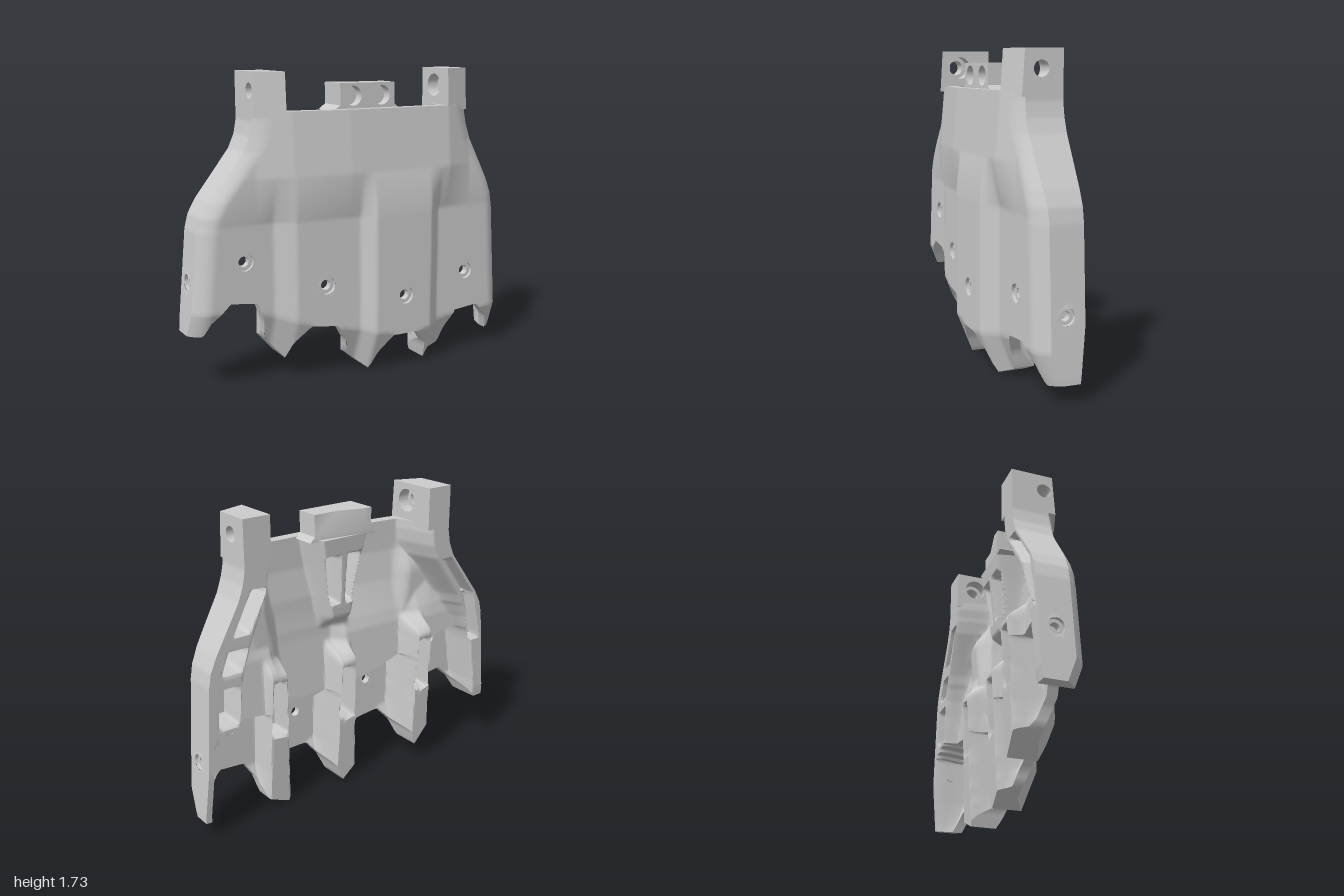
import * as THREE from 'three';
import { toCreasedNormals } from 'three/addons/utils/BufferGeometryUtils.js';

const material = new THREE.MeshStandardMaterial({ color: 0xcccccc });
const thin = new THREE.MeshStandardMaterial({ color: 0xcccccc, side: THREE.DoubleSide });
const { lerp, clamp, smoothstep } = THREE.MathUtils;

// Piecewise linear lookup through [t, value] rows
function lin(rows, t) {
  if (t <= rows[0][0]) return rows[0][1];
  for (let i = 1; i < rows.length; i++) {
    const a = rows[i - 1], b = rows[i];
    if (t <= b[0]) return lerp(a[1], b[1], (t - a[0]) / (b[0] - a[0]));
  }
  return rows[rows.length - 1][1];
}

// Outline: side edges by height, scalloped lower edge by x
const TOP = 1.53;
const leftEdge = [[0.33, -1], [0.9, -0.945], [0.98, -0.925], [1.06, -0.88], [1.32, -0.68], [1.4, -0.645], [1.48, -0.63]];
const rightEdge = [[0.14, 1], [0.9, 0.95], [0.98, 0.935], [1.06, 0.9], [1.32, 0.755], [1.4, 0.725], [1.48, 0.71]];
const lowerEdge = [[-1, 0.33], [-0.93, 0.33], [-0.9, 0.41], [-0.8, 0.51], [-0.64, 0.49], [-0.58, 0.36], [-0.57, 0.27],
  [-0.45, 0.13], [-0.42, 0.23], [-0.33, 0.33], [-0.17, 0.31], [-0.1, 0.2], [-0.09, 0.12], [0.04, 0.01], [0.08, 0.12],
  [0.16, 0.22], [0.32, 0.22], [0.4, 0.12], [0.425, 0.01], [0.56, 0.07], [0.58, 0.17], [0.65, 0.28], [0.81, 0.295],
  [0.9, 0.2], [0.93, 0.1], [1, 0.11]];
const bendLine = [[-0.72, 0.46], [-0.25, 0.31], [0.24, 0.21], [0.73, 0.27]];
const STEP = 0.35; // height of the rear step above the bend line

// Front face: stepped panels below, blending into one slab above
const lowerProfile = [[-0.53, 0.05], [-0.42, 0.115], [-0.03, 0.135], [0.04, 0.2], [0.41, 0.2], [0.5, 0.125]];
const upperProfile = [[-0.9, 0.02], [-0.63, 0.04], [-0.43, 0.1], [-0.1, 0.14], [0.55, 0.145], [0.72, 0.1], [0.95, 0.09]];
function frontZ(x, y) {
  const d = Math.min(x - lin(leftEdge, y), lin(rightEdge, y) - x);
  const round = lin([[1, 0.07], [1.4, 0.03]], y) * (1 - clamp(d / 0.1, 0, 1)) ** 2;
  const upper = lin(upperProfile, x) + 0.08 * (TOP - y);
  const bend = 0.4 * Math.max(0, lin(bendLine, x) - y);
  return lerp(lin(lowerProfile, x), upper, clamp((y - 0.93) / 0.25, 0, 1)) - round - bend;
}

// Straight tapered feature on the rear: centre, half width and depth run from y0 to y1
function taper(y0, y1, c, h, z, fade, endFade = fade) {
  const f = fade / 2, e = endFade / 2;
  const at = ([a, b], y) => lerp(a, b, clamp((y - y0) / (y1 - y0), 0, 1));
  return {
    z: (x, y) => at(z, y),
    mask: (x, y) => smoothstep(at(h, y) - Math.abs(x - at(c, y)), -f, f) *
      smoothstep(y - y0, -e, e) * smoothstep(y1 - y, -e, e),
  };
}
// Arm along a side edge, its width given by height
function arm(edge, side, widths, z, fades) {
  return {
    z: (x, y) => z + 0.1 * Math.max(0, 0.4 - y),
    mask: (x, y) => smoothstep(lin(widths, y) - side * (lin(edge, y) - x), -lin(fades, y), 0.015),
  };
}
// Pocket that follows a side edge at a fixed inset
function edgePocket(edge, inset, y0, y1, half, z) {
  return taper(y0, y1, [lin(edge, y0) + inset, lin(edge, y1) + inset], [half, half], [z, z], 0.025);
}

// Tooth ribs: [centre, depth, top]; each carries a slot
const teeth = [[-0.485, -0.195, 0.92], [0.015, -0.1, 0.84], [0.485, -0.09, 0.87]];
const raised = [
  arm(leftEdge, -1, [[0.45, 0.09], [0.75, 0.105], [1, 0.15], [1.5, 0.13]], -0.2, [[0.8, 0.02], [1, 0.07]]),
  arm(rightEdge, 1, [[0.56, 0.05], [0.62, 0.2], [1, 0.22], [1.42, 0.16]], -0.13, [[0.8, 0.02], [1, 0.04]]),
  ...teeth.map(([c, z, top]) => taper(-0.1, top, [c, c], [0.085, 0.06], [z + 0.04, z], 0.03, 0.12)),
  // Tapered spine under the lug, then soft ridges joining ribs and arms
  taper(1.02, 1.6, [0.035, 0.045], [0.075, 0.18], [-0.05, -0.1], 0.05, 0.1),
  taper(0.8, 1.3, [-0.49, -0.56], [0.06, 0.11], [-0.04, -0.04], 0.1, 0.2),
  taper(0.8, 1.3, [0.49, 0.6], [0.06, 0.11], [0, -0.01], 0.1, 0.2),
];
const pockets = [
  ...teeth.map(([c, z, top]) => taper(top - 0.4, top - 0.09, [c, c], [0.045, 0.03], [z + 0.12, z + 0.12], 0.025)),
  ...[-1, 1].map(s => taper(1.15, 1.42, [0.035 + s * 0.05, 0.04 + s * 0.075], [0.025, 0.045], [0.03, 0.03], 0.025)),
  edgePocket(rightEdge, -0.125, 0.66, 0.86, 0.055, 0),
  edgePocket(rightEdge, -0.13, 0.95, 1.06, 0.05, 0),
  edgePocket(rightEdge, -0.11, 1.15, 1.36, 0.04, -0.03),
  edgePocket(leftEdge, 0.06, 0.75, 1.05, 0.03, -0.13),
  edgePocket(leftEdge, 0.06, 1.05, 1.3, 0.03, -0.13),
];
// Thin behind the teeth, thick above the rear step, thinning again to the top
const bodyThickness = [[0.6, 0.17], [1, 0.14], [1.35, 0.075], [1.53, 0.065]];
function backZ(x, y) {
  const front = frontZ(x, y);
  const base = front - (y < lin(bendLine, x) + STEP ? 0.06 : lin(bodyThickness, y));
  let z = base;
  for (const r of raised) z = Math.min(z, lerp(base, r.z(x, y), r.mask(x, y)));
  for (const p of pockets) z = Math.max(z, lerp(z, p.z(x, y), p.mask(x, y)));
  return Math.min(z, front - 0.045);
}

// Point on the shell: u across, v up, w from front to back; rows follow the bend and the step
function shellPoint(u, v, w) {
  const low = lin(lowerEdge, 2 * u - 1), bend = lin(bendLine, 0.97 * (2 * u - 1)), step = bend + STEP;
  const y = lin([[0, low], [0.15, Math.max(low + 0.02, bend)], [0.3, step - 0.006], [0.31, step + 0.006], [1, TOP]], v);
  const x = lerp(lin(leftEdge, y), lin(rightEdge, y), u);
  return new THREE.Vector3(x, y, lerp(frontZ(x, y), backZ(x, y), w));
}

function named(name, geometry, mat = material) {
  const m = new THREE.Mesh(geometry, mat);
  m.name = name;
  return m;
}

// Grid surface; round holes [a, y, r] are cut in the plane of the given axis and y
function surface(name, nu, nv, point, flip, axis = 'x', holes = []) {
  const pos = [], idx = [], cut = [];
  for (let j = 0; j <= nv; j++) for (let i = 0; i <= nu; i++) {
    const p = point(i / nu, j / nv);
    let inside = false;
    for (const [a, y, r] of holes) {
      const da = p[axis] - a, dy = p.y - y, d = Math.hypot(da, dy);
      if (d > r) continue;
      inside = true;
      p[axis] = a + da * r / (d || 1);
      p.y = y + dy * r / (d || 1);
    }
    pos.push(p.x, p.y, p.z);
    cut.push(inside);
  }
  const tri = (a, b, c) => { if (!(cut[a] && cut[b] && cut[c])) idx.push(a, flip ? c : b, flip ? b : c); };
  for (let j = 0; j < nv; j++) for (let i = 0; i < nu; i++) {
    const a = j * (nu + 1) + i, b = a + 1, c = a + nu + 1, d = c + 1;
    tri(a, b, d);
    tri(a, d, c);
  }
  const g = new THREE.BufferGeometry();
  g.setAttribute('position', new THREE.Float32BufferAttribute(pos, 3));
  g.setIndex(idx);
  return named(name, toCreasedNormals(g, 0.7));
}

// Extruded block with round holes [x, y, r]
function block(points, holes, depth) {
  const s = new THREE.Shape(points.map(p => new THREE.Vector2(...p)));
  for (const [x, y, r] of holes) s.holes.push(new THREE.Path().absarc(x, y, r, 0, Math.PI * 2, true));
  return new THREE.ExtrudeGeometry(s, { depth, bevelEnabled: false, curveSegments: 24 });
}
function reshape(g, rule) {
  const p = g.attributes.position, v = new THREE.Vector3();
  for (let i = 0; i < p.count; i++) {
    rule(v.fromBufferAttribute(p, i));
    p.setXYZ(i, v.x, v.y, v.z);
  }
  return toCreasedNormals(g, 0.5);
}

// Post: side profile in two slabs, with a cross hole that is wider on the inner side
function post(name, inner, outer, back, front, slant) {
  const post = new THREE.Group();
  post.name = name;
  const middle = lerp(inner, outer, 0.45);
  for (const [a, b, r] of [[inner, middle, 0.065], [middle, outer, 0.042]]) {
    const g = block([[-front - 0.015, 1.5], [-back, 1.5], [-back, 1.74], [-front, 1.74]], [[0.01, 1.64, r]], Math.abs(b - a));
    g.rotateY(Math.PI / 2).translate(Math.min(a, b), 0, 0);
    const rule = v => { if (v.z > 0.08) v.z -= slant * (v.x - inner) / (outer - inner); };
    post.add(named(name + 'Slab', reshape(g, rule)));
  }
  return post;
}

// Stepped hole lining around +z, going inwards; profile is [radius, depth]
function lining(name, profile) {
  const g = new THREE.LatheGeometry(profile.map(p => new THREE.Vector2(...p)), 28).rotateX(Math.PI / 2);
  return named(name, toCreasedNormals(g, 0.5), thin);
}

export function createModel() {
  const group = new THREE.Group();
  const bolts = [[-0.7, 0.73], [-0.24, 0.555], [0.235, 0.45], [0.71, 0.52]];
  const pins = [[1, 0.45, -0.03], [-1, 0.62, -0.11]];
  const big = 0.05, small = 0.029, pin = 0.045;

  // Shell faces and rims
  group.add(
    surface('frontFace', 160, 100, (u, v) => shellPoint(u, v, 0), false, 'x', bolts.map(b => [...b, big])),
    surface('rearFace', 230, 100, (u, v) => shellPoint(u, v, 1), true, 'x', bolts.map(b => [...b, small])),
    surface('leftRim', 16, 100, (w, v) => shellPoint(1, v, w), false, 'z', [[pins[0][2], pins[0][1], pin]]),
    surface('rightRim', 16, 100, (w, v) => shellPoint(0, v, w), true, 'z', [[pins[1][2], pins[1][1], pin]]),
    surface('topRim', 230, 2, (u, w) => shellPoint(u, 1, w), false),
    surface('lowerRim', 230, 4, (u, w) => shellPoint(u, 0, w), true));

  // Countersunk bolt holes through the panels
  for (const [x, y] of bolts) {
    const f = frontZ(x, y);
    const hole = lining('boltHole', [[big, 0], [big, -0.02], [small, -0.02], [small, backZ(x, y) - f]]);
    hole.position.set(x, y, f);
    group.add(hole);
  }

  // Recessed pin holes in the side rims
  for (const [side, y, z] of pins) {
    const hole = lining('pinHole', [[pin, 0], [pin, -0.02], [0.026, -0.02], [0.026, -0.06], [0, -0.06]]);
    hole.rotation.y = side * Math.PI / 2;
    hole.position.set(lin(side > 0 ? rightEdge : leftEdge, y), y, z);
    group.add(hole);
  }

  // Upright posts at both upper corners
  group.add(post('rightPost', -0.47, -0.63, -0.2, 0.1, 0.06), post('leftPost', 0.55, 0.71, -0.13, 0.13, 0.05));

  // Lug: solid rear, deeper on one side, and a front slab with two blind holes
  const outline = [[-0.17, 1.52], [0.25, 1.52], [0.22, 1.55], [0.22, 1.67], [0.07, 1.67], [-0.07, 1.67], [-0.13, 1.67], [-0.13, 1.55]];
  const bores = [[-0.05, 1.6, 0.055], [0.133, 1.6, 0.055]];
  const rear = block(outline, [], 0.12).translate(0, 0, -0.1);
  const slope = v => { if (v.z < 0) v.z = lin([[-0.07, -0.1], [0.07, -0.055]], v.x); };
  group.add(named('lugRear', reshape(rear, slope)), named('lugFront', block(outline, bores, 0.06).translate(0, 0, 0.02)));
  return group;
}
